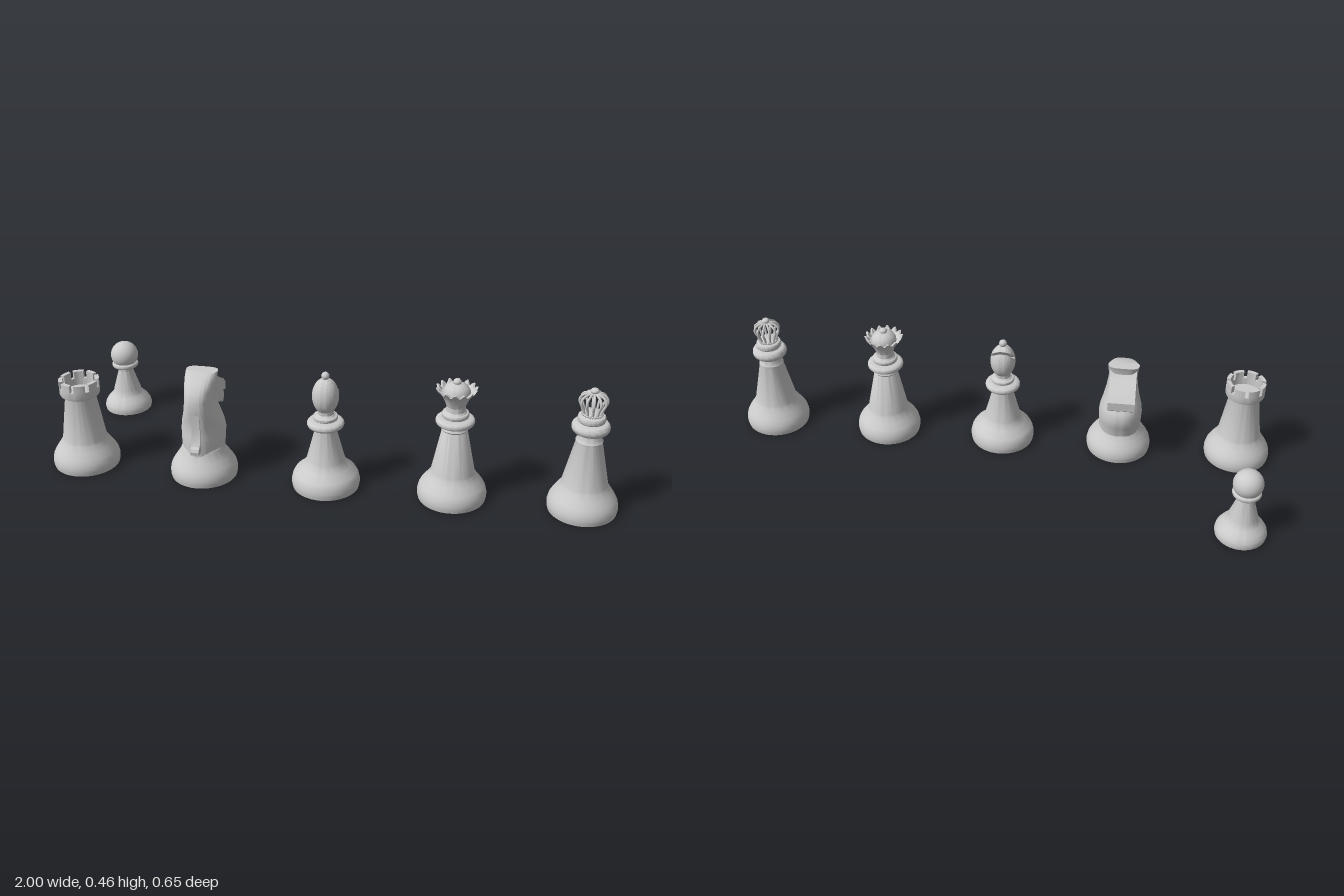
import * as THREE from 'three';
import { toCreasedNormals } from 'three/addons/utils/BufferGeometryUtils.js';

const grey = new THREE.MeshStandardMaterial({ color: 0xcccccc });
const grey2 = new THREE.MeshStandardMaterial({ color: 0xcccccc, side: THREE.DoubleSide });
const SEG = 56;

function add(group, name, geo, mat = grey) {
  const m = new THREE.Mesh(geo, mat);
  m.name = name;
  group.add(m);
  return m;
}
const lathe = (pts, seg = SEG) =>
  new THREE.LatheGeometry(pts.map(([r, y]) => new THREE.Vector2(r, y)), seg);
const crease = (geo, angle = 0.6) => toCreasedNormals(geo, angle);

// Half-round moulding between two heights of a turned profile
function bulge(y0, y1, rIn, rOut) {
  const pts = [];
  for (let i = 0; i <= 10; i++) {
    const a = (i / 10) * Math.PI;
    pts.push([rIn + (rOut - rIn) * Math.sqrt(Math.sin(a) + 1e-9), (y0 + y1) / 2 - ((y1 - y0) / 2) * Math.cos(a)]);
  }
  return pts;
}
// Bell-shaped foot shared by the tall pieces; s is the radius at the shoulder
const foot = (s) => [[0, 0], [0.116, 0], [0.1185, 0.012], [0.119, 0.024], [0.115, 0.042],
  [0.107, 0.057], [s + 0.016, 0.078], [s + 0.003, 0.098], [s, 0.107]];

function ball(group, name, r, y, squash = 1) {
  const b = add(group, name, new THREE.SphereGeometry(r, 32, 20));
  b.scale.y = squash;
  b.position.y = y;
}
// Flat outline in (z, y), thickened across x
function slab(pts, halfWidth) {
  const shape = new THREE.Shape(pts.map(([z, y]) => new THREE.Vector2(z - 0.206, y)));
  const g = new THREE.ExtrudeGeometry(shape, { depth: halfWidth * 2, bevelEnabled: false });
  return crease(g.translate(0, 0, -halfWidth).rotateY(-Math.PI / 2), 0.5);
}

function pawn(g) {
  add(g, 'pawnBody', crease(lathe([[0, 0], [0.088, 0], [0.09, 0.012], [0.087, 0.026], [0.077, 0.042],
    [0.062, 0.058], [0.053, 0.07], [0.05, 0.085], [0.027, 0.16],
    ...bulge(0.161, 0.171, 0.027, 0.032), ...bulge(0.173, 0.195, 0.03, 0.05), [0, 0.196]])));
  ball(g, 'pawnHead', 0.052, 0.222);
}

function rook(g) {
  add(g, 'rookBody', crease(lathe([...foot(0.077), [0.054, 0.262], [0.056, 0.272], [0.068, 0.276],
    [0.07, 0.281], [0.07, 0.305], [0.056, 0.305], [0.056, 0.28], [0, 0.28]])));
  // Battlements
  const n = 8, half = (Math.PI / n) * 0.74;
  for (let i = 0; i < n; i++) {
    const a = ((i + 0.5) / n) * Math.PI * 2;
    const s = new THREE.Shape();
    s.absarc(0, 0, 0.07, a - half, a + half, false);
    s.absarc(0, 0, 0.056, a + half, a - half, true);
    const m = new THREE.ExtrudeGeometry(s, { depth: 0.028, bevelEnabled: false, curveSegments: 8 });
    add(g, 'rookBattlement', crease(m.rotateX(-Math.PI / 2).translate(0, 0.304, 0)));
  }
}

function knight(g) {
  add(g, 'knightBase', crease(lathe([...foot(0.077), [0.072, 0.118], [0, 0.12]])));
  // Chest and neck: rows of [height, back z, front z, half width]
  const rows = [[0.085, 0.285, 0.127, 0.076], [0.11, 0.284, 0.124, 0.076], [0.14, 0.285, 0.114, 0.078],
    [0.175, 0.282, 0.105, 0.079], [0.205, 0.278, 0.113, 0.075], [0.232, 0.277, 0.138, 0.066],
    [0.27, 0.284, 0.15, 0.057], [0.31, 0.285, 0.152, 0.052], [0.34, 0.275, 0.152, 0.053],
    [0.365, 0.25, 0.15, 0.055], [0.388, 0.205, 0.144, 0.056]];
  const n = rows.length + 1;
  const neck = lathe([...rows.map((r) => [1, r[0]]), [0, 0.389]]);
  const p = neck.attributes.position;
  for (let i = 0; i < p.count; i++) {
    const j = Math.min(i % n, n - 2);
    const [, back, front, hw] = rows[j];
    const pow = j < 5 ? 0.95 : 0.6;
    const sq = (v) => Math.sign(v) * Math.abs(v) ** pow;
    const u = sq(p.getX(i)), v = sq(p.getZ(i));
    p.setX(i, u * hw * (1 - 0.25 * Math.max(v, 0)));
    p.setZ(i, (back + front) / 2 + (v * (back - front)) / 2 - 0.206);
  }
  add(g, 'knightNeck', crease(neck, 0.7));
  // Head with open mouth
  add(g, 'knightHead', slab([[0.21, 0.375], [0.16, 0.372], [0.153, 0.36], [0.135, 0.347], [0.082, 0.316],
    [0.06, 0.295], [0.061, 0.262], [0.087, 0.276], [0.082, 0.25], [0.097, 0.234], [0.109, 0.236],
    [0.118, 0.25], [0.145, 0.26], [0.2, 0.26]], 0.048));
  // Mane ending in a curl
  add(g, 'knightMane', slab([[0.24, 0.3], [0.284, 0.3], [0.283, 0.25], [0.281, 0.2], [0.287, 0.165],
    [0.295, 0.15], [0.306, 0.146], [0.311, 0.136], [0.309, 0.124], [0.296, 0.122], [0.285, 0.127],
    [0.278, 0.1], [0.24, 0.1]], 0.015));
}

function bishop(g) {
  add(g, 'bishopBody', crease(lathe([...foot(0.066), [0.036, 0.222], ...bulge(0.228, 0.256, 0.036, 0.064),
    ...bulge(0.258, 0.274, 0.034, 0.043), [0.028, 0.28], [0.028, 0.3], [0, 0.3]])));
  // Head: a unit sphere turned about the slot's normal, with the slot pushed in, then stretched
  const pts = [], lo = 0.0, hi = 0.16, inner = [];
  const arc = (a, b) => {
    for (let i = 0; i <= 16; i++) {
      const t = Math.asin(a) + ((Math.asin(b) - Math.asin(a)) * i) / 16;
      pts.push([Math.max(Math.cos(t), 0), Math.sin(t)]);
    }
  };
  arc(-1, lo);
  for (const y of [lo, hi]) {
    inner.push(pts.length);
    pts.push([Math.sqrt(1 - y * y), y]);
  }
  arc(hi, 1);
  const head = lathe(pts);
  const p = head.attributes.position;
  for (let i = 0; i < p.count; i++) {
    if (inner.includes(i % pts.length)) p.setZ(i, Math.max(p.getZ(i), -0.3));
  }
  head.rotateX(Math.PI / 4).scale(0.046, 0.066, 0.046).translate(0, 0.345, 0);
  add(g, 'bishopHead', crease(head, 0.6));
  ball(g, 'bishopFinial', 0.014, 0.42);
}

function queen(g) {
  add(g, 'queenBody', crease(lathe([...foot(0.074), [0.043, 0.262], [0.046, 0.267], [0.042, 0.272],
    [0.04, 0.28], ...bulge(0.282, 0.308, 0.04, 0.066), ...bulge(0.31, 0.328, 0.038, 0.046),
    [0.033, 0.334], [0.032, 0.352], [0, 0.352]])));
  // Fluted cup with a scalloped rim
  const cup = lathe([[0.03, 0.345], [0.035, 0.36], [0.042, 0.378], [0.053, 0.396], [0.067, 0.411],
    [0.06, 0.411], [0.05, 0.398], [0, 0.39]], 168);
  const p = cup.attributes.position;
  for (let i = 0; i < p.count; i++) {
    const x = p.getX(i), y = p.getY(i), z = p.getZ(i);
    const h = THREE.MathUtils.clamp((y - 0.345) / 0.066, 0, 1);
    const wave = Math.cos(14 * Math.atan2(x, z)) * h;
    const k = 1 + 0.055 * wave;
    p.setXYZ(i, x * k, y + (y > 0.41 ? 0.007 * wave : 0), z * k);
  }
  add(g, 'queenCrown', crease(cup, 0.8));
  add(g, 'queenDome', crease(lathe([[0.046, 0.392], [0.045, 0.408], [0.037, 0.422], [0.022, 0.431], [0, 0.435]])));
  ball(g, 'queenFinial', 0.014, 0.438, 0.8);
}

function king(g) {
  add(g, 'kingBody', crease(lathe([...foot(0.077), [0.072, 0.13], [0.044, 0.26], [0.045, 0.266],
    [0.041, 0.271], [0.037, 0.296], ...bulge(0.297, 0.333, 0.037, 0.063),
    ...bulge(0.335, 0.358, 0.038, 0.046), [0.034, 0.36], [0.032, 0.368], [0, 0.368]])));
  // Open crown of curved ribs, with a ring of beads at its foot
  const n = 12;
  for (let i = 0; i < n; i++) {
    const a = (i / n) * Math.PI * 2;
    const path = new THREE.CatmullRomCurve3(
      [[0.029, 0.362], [0.036, 0.385], [0.045, 0.408], [0.04, 0.424], [0.024, 0.433], [0, 0.437]]
        .map(([r, y]) => new THREE.Vector3(r * Math.cos(a), y, r * Math.sin(a))));
    add(g, 'kingCrownRib', new THREE.TubeGeometry(path, 20, 0.0042, 8), grey2);
  }
  for (let i = 0; i < 24; i++) {
    const a = (i / 24) * Math.PI * 2;
    add(g, 'kingCrownBead', new THREE.SphereGeometry(0.0045, 8, 6))
      .position.set(0.033 * Math.cos(a), 0.364, 0.033 * Math.sin(a));
  }
  ball(g, 'kingFinial', 0.014, 0.445, 0.72);
}

export function createModel() {
  const model = new THREE.Group();
  model.name = 'chessPieces';
  const place = (name, build, x, z) => {
    const g = new THREE.Group();
    g.name = name;
    build(g);
    g.position.set(x, 0, z);
    model.add(g);
  };
  place('rook', rook, -0.881, 0.206);
  place('knight', knight, -0.44, 0.206);
  place('bishop', bishop, 0, 0.206);
  place('queen', queen, 0.44, 0.206);
  place('king', king, 0.881, 0.206);
  place('pawn', pawn, -0.881, -0.235);
  return model;
}
